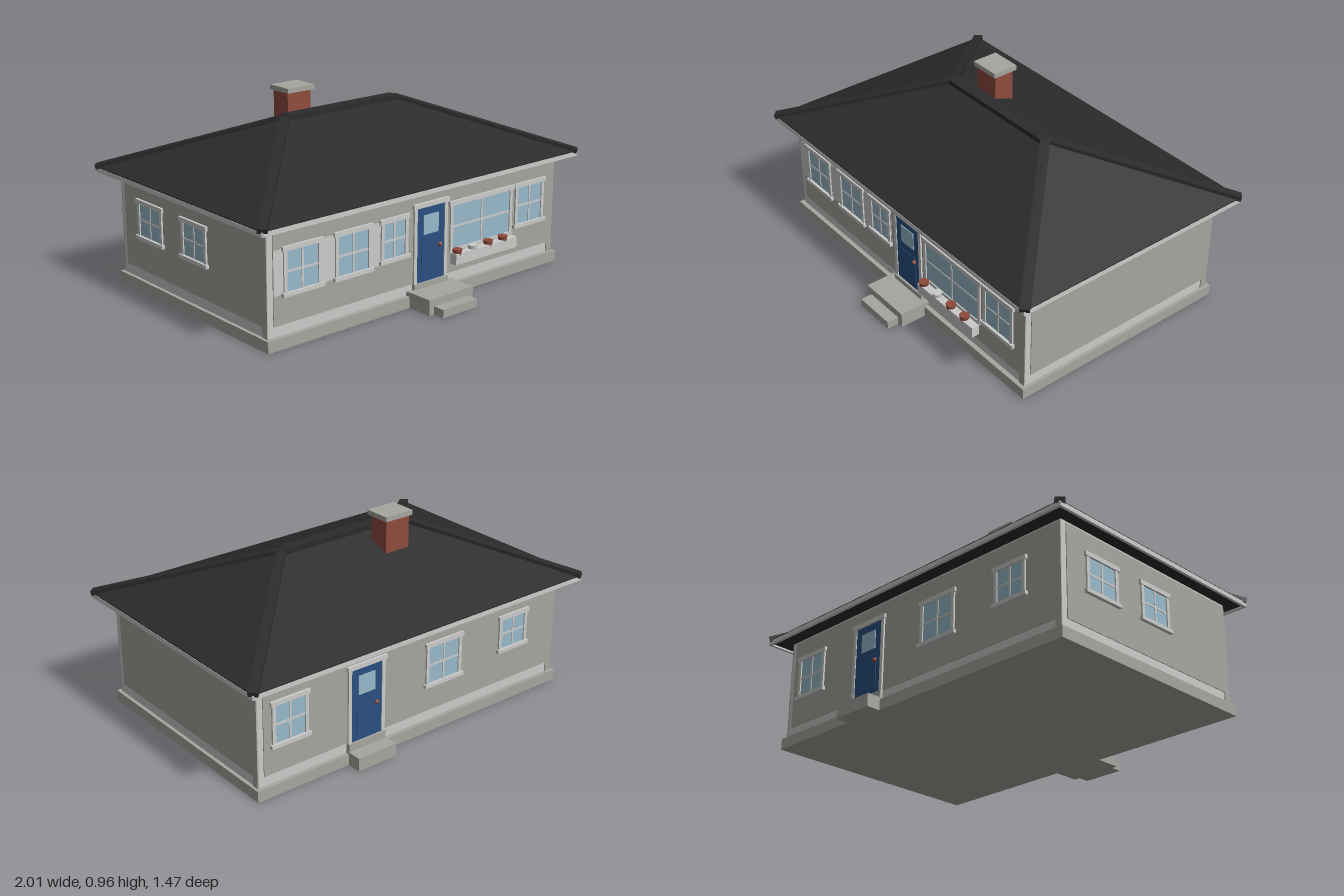
import * as THREE from 'three';

const mat = (name, color) => {
  const m = new THREE.MeshStandardMaterial({ color });
  m.name = name;
  return m;
};

export function createModel() {
  const trim = mat('light trim', 0xcbcbca);
  const stone = mat('warm grey render', 0xa6a69f);
  const slate = mat('dark slate', 0x2b2b2b);
  const brick = mat('red brick', 0x8f4b3d);
  const blue = mat('door blue', 0x2a5080);
  const glass = mat('window glass', 0x98b9ca);

  const house = new THREE.Group();
  house.name = 'house';

  // Box given by its two extremes on each axis
  const box = (parent, name, m, x0, x1, y0, y1, z0, z1) => {
    const mesh = new THREE.Mesh(new THREE.BoxGeometry(x1 - x0, y1 - y0, z1 - z0), m);
    mesh.position.set((x0 + x1) / 2, (y0 + y1) / 2, (z0 + z1) / 2);
    mesh.name = name;
    parent.add(mesh);
    return mesh;
  };

  // Plinth, walls and steps
  box(house, 'plinth', stone, -0.923, 0.923, 0, 0.055, -0.65, 0.536);
  box(house, 'wallCore', trim, -0.906, 0.906, 0.055, 0.565, -0.63, 0.513);
  box(house, 'frontUpperStep', stone, -0.095, 0.187, 0, 0.077, 0.5, 0.67);
  box(house, 'frontLowerStep', stone, -0.065, 0.155, 0, 0.04, 0.66, 0.73);
  box(house, 'backStep', stone, 0.197, 0.417, 0, 0.065, -0.722, -0.62);

  // One group per facade: local x to the right, local z outwards
  const facade = (name, x, z, angle, half) => {
    const g = new THREE.Group();
    g.name = name;
    g.position.set(x, 0, z);
    g.rotation.y = angle;
    house.add(g);
    box(g, 'renderPanel', stone, -half + 0.03, half, 0.105, 0.555, -0.003, 0.004);
    box(g, 'cornerStrip', stone, half - 0.035, half, 0.055, 0.105, -0.003, 0.004);
    return g;
  };
  const front = facade('frontWall', 0, 0.513, 0, 0.906);
  const back = facade('backWall', 0, -0.63, Math.PI, 0.906);
  const right = facade('leftWall', 0.906, -0.0585, Math.PI / 2, 0.5715);
  const left = facade('rightWall', -0.906, -0.0585, -Math.PI / 2, 0.5715);
  right.userData.plain = true;

  // Window with frame, glazing bars, header and sill; x0..x1, y0..y1 is the glass
  const addWindow = (wall, x0, x1, y0, y1, sill = true) => {
    const g = new THREE.Group();
    g.name = 'window';
    wall.add(g);
    const cx = (x0 + x1) / 2, cy = (y0 + y1) / 2, f = 0.018, b = 0.005;
    box(g, 'glass', glass, x0, x1, y0, y1, 0, 0.007);
    box(g, 'verticalBar', trim, cx - b, cx + b, y0, y1, 0, 0.01);
    box(g, 'horizontalBar', trim, x0, x1, cy - b, cy + b, 0, 0.0095);
    box(g, 'leftJamb', trim, x0 - f, x0, y0, y1, 0, 0.013);
    box(g, 'rightJamb', trim, x1, x1 + f, y0, y1, 0, 0.013);
    box(g, 'header', trim, x0 - 0.026, x1 + 0.026, y1, y1 + 0.022, 0, 0.017);
    if (sill) box(g, 'sill', trim, x0 - 0.028, x1 + 0.028, y0 - 0.016, y0 + 0.002, 0, 0.021);
    else box(g, 'bottomRail', trim, x0 - f, x1 + f, y0 - 0.015, y0, 0, 0.013);
  };

  // Door with frame, light, lower panel and knob
  const addDoor = (wall, cx) => {
    const g = new THREE.Group();
    g.name = 'door';
    g.position.x = cx;
    wall.add(g);
    box(g, 'leaf', blue, -0.088, 0.088, 0.1, 0.472, 0, 0.009);
    box(g, 'doorGlass', glass, -0.048, 0.048, 0.335, 0.43, 0, 0.013);
    box(g, 'lowerPanel', blue, -0.06, 0.06, 0.13, 0.29, 0, 0.012);
    box(g, 'threshold', stone, -0.108, 0.108, 0.055, 0.102, 0, 0.02);
    for (const s of [-1, 1]) {
      const a = s * 0.088, b = s * 0.107;
      box(g, 'doorJamb', trim, Math.min(a, b), Math.max(a, b), 0.1, 0.472, 0, 0.013);
    }
    box(g, 'doorHeader', trim, -0.114, 0.114, 0.47, 0.492, 0, 0.018);
    const knob = new THREE.Mesh(new THREE.SphereGeometry(0.011, 12, 8), brick);
    knob.name = 'knob';
    knob.position.set(0.055, 0.27, 0.016);
    g.add(knob);
  };

  // Front openings and the light boarding around the left three
  box(front, 'boarding', trim, -0.876, -0.09, 0.245, 0.452, 0, 0.006);
  addWindow(front, -0.805, -0.63, 0.25, 0.44);
  addWindow(front, -0.515, -0.34, 0.25, 0.44);
  addWindow(front, -0.245, -0.115, 0.265, 0.44);
  addWindow(front, 0.193, 0.582, 0.225, 0.44, false);
  addWindow(front, 0.64, 0.81, 0.25, 0.44);
  addDoor(front, 0.048);

  // Flower box with four pots
  box(front, 'flowerBox', trim, 0.177, 0.595, 0.155, 0.208, 0.013, 0.053);
  [0.203, 0.306, 0.412, 0.514].forEach((x, i) => {
    const pot = new THREE.Mesh(new THREE.CylinderGeometry(0.025, 0.02, 0.03, 12), i === 1 ? trim : brick);
    pot.name = 'flowerPot';
    pot.position.set(x, 0.212, 0.033);
    front.add(pot);
  });

  // Back and side openings
  addWindow(back, -0.815, -0.655, 0.25, 0.44);
  addDoor(back, -0.307);
  addWindow(back, 0.07, 0.255, 0.25, 0.44);
  addWindow(back, 0.54, 0.69, 0.285, 0.44);
  addWindow(left, -0.405, -0.235, 0.28, 0.44);
  addWindow(left, -0.04, 0.12, 0.28, 0.44);

  // Hipped roof: four slopes above a dark soffit
  const E = 0.987, zf = 0.592, zb = -0.722, ey = 0.583, ry = 0.845, rx = 0.345, rz = -0.065;
  const A = [-E, ey, zf], B = [E, ey, zf], C = [E, ey, zb], D = [-E, ey, zb];
  const L = [-rx, ry, rz], R = [rx, ry, rz];
  const tris = [A, B, R, A, R, L, B, C, R, C, D, L, C, L, R, D, A, L];
  const roofGeo = new THREE.BufferGeometry();
  roofGeo.setAttribute('position', new THREE.Float32BufferAttribute(tris.flat(), 3));
  roofGeo.computeVertexNormals();
  const roof = new THREE.Mesh(roofGeo, slate);
  roof.name = 'roofSlopes';
  house.add(roof);
  box(house, 'soffit', slate, -E, E, 0.565, ey, zb, zf);

  // Fascia boards around the eaves
  const t = 0.012;
  box(house, 'frontFascia', trim, -E, E, 0.556, 0.578, zf - t, zf + 0.002);
  box(house, 'backFascia', trim, -E, E, 0.556, 0.578, zb - 0.002, zb + t);
  box(house, 'leftFascia', trim, E - t, E + 0.002, 0.556, 0.578, zb, zf);
  box(house, 'rightFascia', trim, -E - 0.002, -E + t, 0.556, 0.578, zb, zf);

  // Ridge and hip caps
  const cap = (name, p, q, w) => {
    const a = new THREE.Vector3(...p), b = new THREE.Vector3(...q);
    const mesh = new THREE.Mesh(new THREE.BoxGeometry(w, 0.024, a.distanceTo(b)), slate);
    mesh.name = name;
    mesh.position.copy(a).add(b).multiplyScalar(0.5);
    mesh.lookAt(b);
    house.add(mesh);
  };
  cap('ridgeCap', L, R, 0.065);
  for (const [p, q] of [[A, L], [B, R], [C, R], [D, L]]) cap('hipCap', p, q, 0.045);

  // Chimney
  box(house, 'chimneyStack', brick, -0.265, -0.125, 0.57, 0.936, -0.256, -0.147);
  box(house, 'chimneyCap', stone, -0.275, -0.112, 0.934, 0.958, -0.27, -0.133);

  return house;
}
